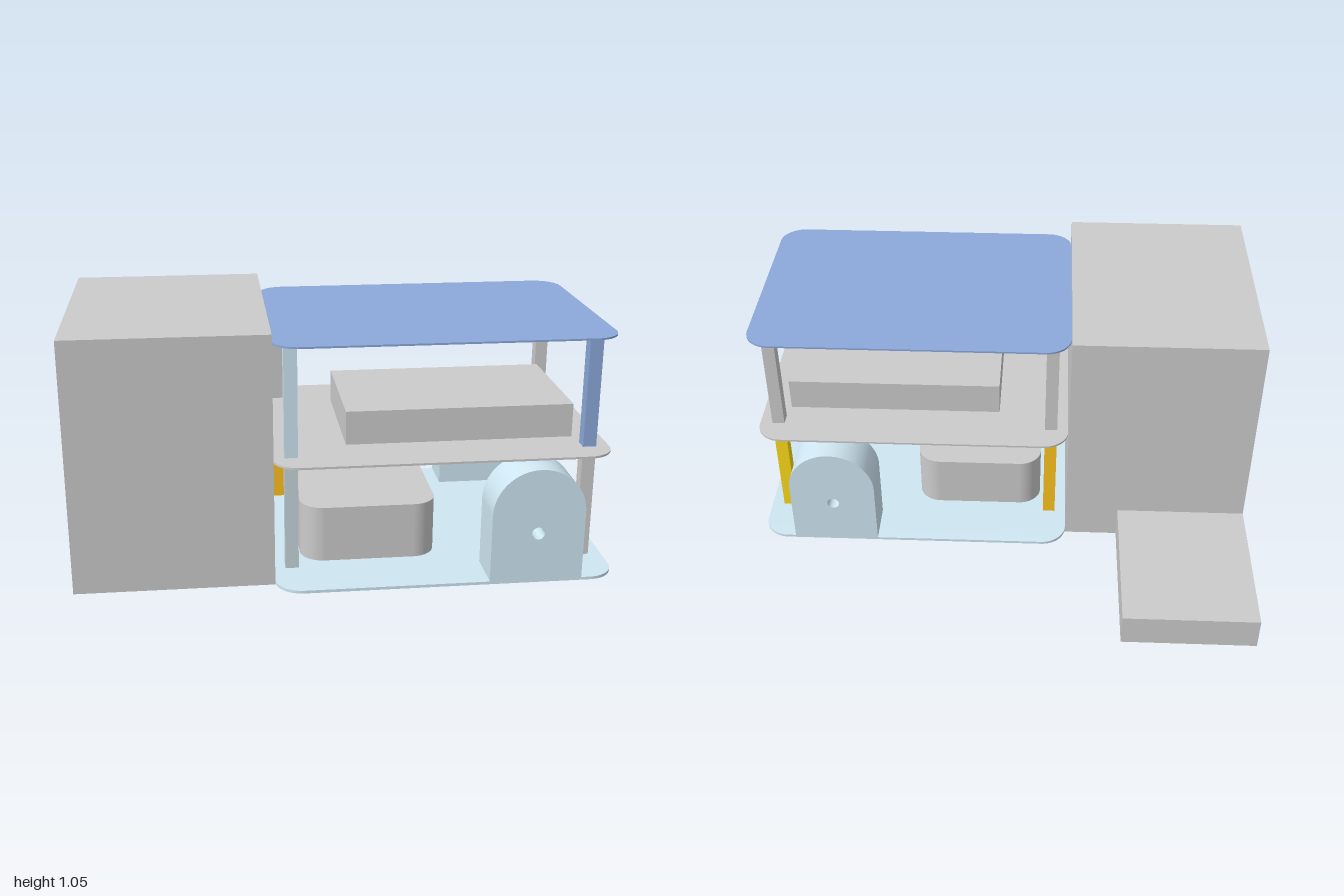
import * as THREE from 'three';

const GREY = 0xcccccc, BLUE = 0x8ca9da, PALE = 0xcfe7f3, YELLOW = 0xfddc19, AMBER = 0xfdc31e;

export function createModel() {
  const model = new THREE.Group();
  const mats = {};
  const mat = (c) => (mats[c] ??= new THREE.MeshStandardMaterial({ color: c }));

  const add = (name, geometry, color = GREY) => {
    const mesh = new THREE.Mesh(geometry, mat(color));
    mesh.name = name;
    model.add(mesh);
    return mesh;
  };

  // Box given by its limits on each axis
  const box = (name, x0, x1, y0, y1, z0, z1, color) =>
    add(name, new THREE.BoxGeometry(x1 - x0, y1 - y0, z1 - z0), color)
      .position.set((x0 + x1) / 2, (y0 + y1) / 2, (z0 + z1) / 2);

  // Upright slab with rounded corners in plan
  const slab = (name, x0, x1, y0, y1, z0, z1, r, color) => {
    const s = new THREE.Shape();
    s.absarc(x1 - r, -z0 - r, r, 0, Math.PI / 2);
    s.absarc(x0 + r, -z0 - r, r, Math.PI / 2, Math.PI);
    s.absarc(x0 + r, -z1 + r, r, Math.PI, Math.PI * 1.5);
    s.absarc(x1 - r, -z1 + r, r, Math.PI * 1.5, Math.PI * 2);
    const g = new THREE.ExtrudeGeometry(s, { depth: y1 - y0, bevelEnabled: false, curveSegments: 12 });
    g.rotateX(-Math.PI / 2).translate(0, y0, 0);
    add(name, g, color);
  };

  // Large block and the low step behind it
  box('largeBlock', -1, -0.265, 0.1, 1.055, -0.22, 0.735);
  box('lowStep', -1, -0.48, 0.1, 0.23, -0.825, -0.22);

  // Three decks
  slab('bottomDeck', -0.265, 1, 0.104, 0.115, -0.303, 0.825, 0.1, PALE);
  slab('middleDeck', -0.265, 1, 0.551, 0.559, -0.217, 0.738, 0.1);
  slab('topDeck', -0.265, 1, 0.995, 1.002, -0.197, 0.717, 0.1, BLUE);

  // Corner posts: x, z, lower colour, upper colour
  for (const [x, z, lower, upper] of [
    [0.925, 0.612, GREY, BLUE],
    [-0.195, 0.612, 0xc8d6dc, PALE],
    [0.925, -0.083, YELLOW, GREY],
    [-0.195, -0.083, AMBER, GREY],
  ]) {
    box('lowerPost', x - 0.025, x + 0.025, 0.115, 0.551, z - 0.025, z + 0.025, lower);
    box('upperPost', x - 0.025, x + 0.025, 0.559, 0.995, z - 0.025, z + 0.025, upper);
  }

  // Components on the decks
  slab('batteryCase', -0.155, 0.365, 0.115, 0.333, -0.06, 0.588, 0.09);
  box('controlUnit', 0.02, 0.89, 0.559, 0.69, 0.003, 0.522);

  // Arched side housings with a shaft hole
  const arch = new THREE.Shape();
  arch.moveTo(-0.173, 0);
  arch.lineTo(0.173, 0);
  arch.lineTo(0.173, 0.262);
  arch.absarc(0, 0.262, 0.173, 0, Math.PI);
  arch.closePath();
  const hole = new THREE.Path();
  hole.absarc(0, 0.185, 0.024, 0, Math.PI * 2, true);
  arch.holes.push(hole);
  const housing = new THREE.ExtrudeGeometry(arch, { depth: 0.171, bevelEnabled: false, curveSegments: 24 });
  for (const z of [0.654, -0.303]) add('archedHousing', housing, PALE).position.set(0.692, 0.115, z);

  // Ball caster: hemisphere under a short straight collar
  const profile = [];
  for (let i = 0; i <= 12; i++) {
    const a = (i / 12) * Math.PI / 2;
    profile.push(new THREE.Vector2(0.0875 * Math.sin(a), 0.0875 * (1 - Math.cos(a))));
  }
  profile.push(new THREE.Vector2(0.0875, 0.106));
  add('ballCaster', new THREE.LatheGeometry(profile, 32)).position.set(-0.089, 0, 0.263);

  return model;
}
